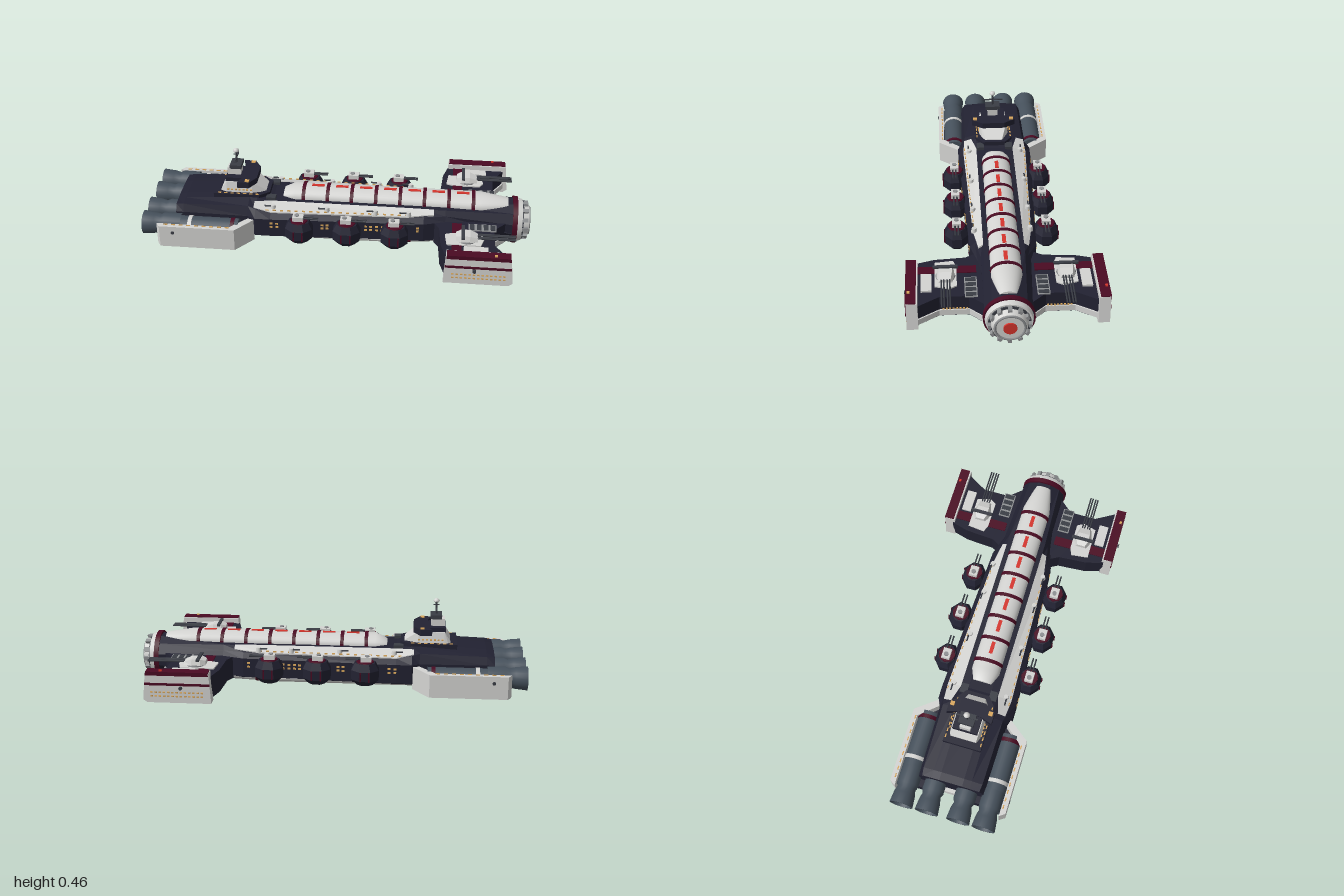
import * as THREE from 'three';

const mat = (name, color, side = THREE.FrontSide) => Object.assign(new THREE.MeshStandardMaterial({ color, side }), { name });

export function createModel() {
  const root = new THREE.Group();
  root.name = 'cruiser';
  const white = mat('hull white', 0xd4d4d2), navy = mat('navy', 0x222232), maroon = mat('maroon', 0x4a0a22),
    red = mat('signal red', 0xd6342c), amber = mat('window amber', 0xd9a75c), cyan = mat('engine teal', 0x3f7c8c, THREE.DoubleSide),
    slate = mat('engine slate', 0x46515c, THREE.DoubleSide), metal = mat('gunmetal', 0x3a3d45), grey = mat('panel grey', 0x8e9092);

  // ---- helpers ----
  const add = (name, geo, m) => {
    const mesh = new THREE.Mesh(geo, m);
    mesh.name = name;
    root.add(mesh);
    return mesh;
  };
  const box = (name, m, x, y, z, w, h, d) => add(name, new THREE.BoxGeometry(w, h, d).translate(x, y, z), m);
  const cylX = (name, m, x0, x1, y, z, r0, r1 = r0, n = 24) =>
    add(name, new THREE.CylinderGeometry(r1, r0, x1 - x0, n).rotateZ(-Math.PI / 2).translate((x0 + x1) / 2, y, z), m);
  const cylY = (name, m, x, y0, y1, z, r0, r1 = r0, n = 12) =>
    add(name, new THREE.CylinderGeometry(r1, r0, y1 - y0, n).translate(x, (y0 + y1) / 2, z), m);
  const shape = pts => new THREE.Shape(pts.map(p => new THREE.Vector2(p[0], p[1])));
  // plan outline of [x, z] raised from y0 to y1
  const plan = (name, m, pts, s, y0, y1) => add(name,
    new THREE.ExtrudeGeometry(shape(pts.map(([x, z]) => [x, -z * s])), { depth: y1 - y0, bevelEnabled: false })
      .rotateX(-Math.PI / 2).translate(0, y0, 0), m);
  // side outline of [x, y] between two z values
  const elevation = (name, m, pts, za, zb) => add(name,
    new THREE.ExtrudeGeometry(shape(pts), { depth: Math.abs(zb - za), bevelEnabled: false }).translate(0, 0, Math.min(za, zb)), m);
  // skin over rings {x, pts: [z, y]}, counter-clockwise seen from +x
  const loft = (name, m, rings, smooth = false) => {
    const n = rings[0].pts.length, pos = [], idx = [];
    rings.forEach(r => r.pts.forEach(([z, y]) => pos.push(r.x, y, z)));
    for (let i = 0; i < rings.length - 1; i++) for (let j = 0; j < n; j++) {
      const a = i * n + j, b = i * n + (j + 1) % n;
      idx.push(a, b, b + n, a, b + n, a + n);
    }
    const caps = [0, (rings.length - 1) * n].map((start, e) => {
      const base = pos.length / 3;
      for (let j = 0; j < n; j++) pos.push(...pos.slice((start + j) * 3, (start + j) * 3 + 3));
      return [base, e];
    });
    for (const [b, e] of caps) for (let j = 1; j < n - 1; j++)
      idx.push(b, e ? b + j : b + j + 1, e ? b + j + 1 : b + j);
    let geo = new THREE.BufferGeometry();
    geo.setAttribute('position', new THREE.Float32BufferAttribute(pos, 3));
    geo.setIndex(idx);
    if (!smooth) geo = geo.toNonIndexed();
    geo.computeVertexNormals();
    return add(name, geo, m);
  };
  const mirrored = half => [...half, ...half.map(([z, y]) => [-z, y]).reverse()];
  const lerpAt = (table, x) => {
    const i = Math.max(1, table.findIndex(r => r[0] >= x)), a = table[i - 1], b = table[i];
    const t = (x - a[0]) / (b[0] - a[0]);
    return a.map((v, k) => v + (b[k] - v) * t);
  };

  // ---- main hull ----
  const noseHalf = [75, 45, 15, -15, -45, -75].map(d => d * Math.PI / 180)
    .map(a => [Math.cos(a) * 0.118, 0.113 + Math.sin(a) * 0.11]);
  const body = (x, ridge, shoulderY, shoulder, w) => ({
    x, pts: mirrored([[0.06, ridge], [0.1, ridge - 0.004], [shoulder, shoulderY], [w, 0.15], [w, 0.05], [shoulder, 0.035]]) });
  loft('hull', navy, [
    body(-0.84, 0.192, 0.185, 0.15, 0.17), body(-0.8, 0.2, 0.19, 0.155, 0.172), body(-0.46, 0.222, 0.2, 0.16, 0.178),
    body(-0.42, 0.222, 0.19, 0.17, 0.2), body(-0.34, 0.205, 0.175, 0.17, 0.2), body(0.45, 0.205, 0.175, 0.14, 0.165),
    body(0.56, 0.205, 0.175, 0.115, 0.13), { x: 0.93, pts: mirrored(noseHalf) }]);

  // ---- belly keel with bands ----
  const keel = [[-0.86, 0.14], [-0.4, 0.185], [0.3, 0.18], [0.55, 0.14], [0.89, 0.085]];
  const keelRing = (x, grow = 0) => {
    const w = lerpAt(keel, x)[1] + grow, half = [];
    for (let i = 0; i <= 8; i++) half.push([Math.cos(i * Math.PI / 17) * w, 0.052 - Math.sin(i * Math.PI / 17) * (0.05 + grow / 2)]);
    return { x, pts: mirrored(half) };
  };
  loft('keel', white, keel.map(k => keelRing(k[0])));
  for (const x of [-0.15, 0.38]) loft('keelBand', maroon, [keelRing(x - 0.007, 0.004), keelRing(x + 0.007, 0.004)]);

  // ---- rounded dorsal spine ----
  const spine = [[-0.29, 0.05, 0.018], [-0.23, 0.074, 0.05], [0.74, 0.074, 0.05], [0.88, 0.045, 0.028]];
  const spineRing = (x, grow = 0) => {
    const [, w, h] = lerpAt(spine, x), half = [[w + grow, 0.19]];
    for (let i = 1; i <= 8; i++) half.unshift([Math.cos((i - 1) * Math.PI / 15) * (w + grow), 0.202 + Math.sin((i - 1) * Math.PI / 15) * (h + grow)]);
    return { x, pts: mirrored(half) };
  };
  loft('spine', white, spine.map(r => spineRing(r[0])), true);
  for (let i = 0; i < 8; i++) {
    const x = -0.182 + i * 0.126;
    loft('spineBand', maroon, [spineRing(x - 0.009, 0.004), spineRing(x + 0.009, 0.004)]);
    if (i < 7) box('spineDash', red, x + 0.072, 0.2515, 0, 0.065, 0.006, 0.019);
  }

  // ---- nose drum ----
  cylX('noseRing', maroon, 0.905, 0.93, 0.11, 0, 0.122, 0.122, 32);
  cylX('noseCollar', white, 0.93, 0.955, 0.11, 0, 0.114, 0.108, 32);
  cylX('noseGroove', metal, 0.955, 0.962, 0.11, 0, 0.1, 0.1, 32);
  cylX('noseDrum', white, 0.955, 0.992, 0.11, 0, 0.09, 0.078, 32);
  add('noseRim', new THREE.TorusGeometry(0.07, 0.006, 6, 32).rotateY(Math.PI / 2).translate(0.992, 0.11, 0), grey);
  cylX('noseLamp', red, 0.99, 1, 0.11, 0, 0.032);
  for (let i = 0; i < 12; i++)
    add('noseClamp', new THREE.BoxGeometry(0.04, 0.014, 0.02).translate(0.965, 0.094, 0).rotateX(i * Math.PI / 6).translate(0, 0.11, 0), grey);

  // ---- bridge ----
  loft('bridgeBase', white, [[-0.615, 0.075, 0.24], [-0.585, 0.08, 0.288], [-0.45, 0.08, 0.288], [-0.38, 0.055, 0.235]].map(([x, w, y]) =>
    ({ x, pts: mirrored([[w - 0.01, y], [w + 0.005, 0.2]]) })));
  plan('bridgePlinth', navy, [[-0.65, 0.1], [-0.41, 0.1], [-0.36, 0.06], [-0.36, -0.06], [-0.41, -0.1], [-0.65, -0.1]], 1, 0.2, 0.232);
  plan('bridgeWing', navy, [[-0.52, 0.118], [-0.46, 0.118], [-0.425, 0.06], [-0.425, -0.06], [-0.46, -0.118], [-0.52, -0.118], [-0.5, -0.06], [-0.5, 0.06]], 1, 0.282, 0.314);
  box('bridgeRoof', navy, -0.535, 0.298, 0, 0.11, 0.022, 0.13);
  box('bridgeTower', white, -0.55, 0.327, 0, 0.07, 0.04, 0.056);
  box('lookout', metal, -0.54, 0.358, 0, 0.06, 0.02, 0.08);
  cylY('mast', metal, -0.54, 0.36, 0.435, 0, 0.005);
  box('mastYard', metal, -0.54, 0.398, 0, 0.008, 0.005, 0.112);
  box('mastSpar', metal, -0.54, 0.415, 0, 0.03, 0.004, 0.004);
  add('radarDome', new THREE.SphereGeometry(0.016, 12, 6, 0, Math.PI * 2, 0, Math.PI / 2).translate(-0.54, 0.434, 0), white);
  cylY('domeFoot', grey, -0.54, 0.428, 0.435, 0, 0.008, 0.016);

  // ---- everything that is repeated on both flanks ----
  for (const s of [1, -1]) {
    // bridge lights
    box('bridgeLamp', amber, -0.47, 0.316, s * 0.1, 0.022, 0.006, 0.022);
    for (let i = 0; i < 7; i++) {
      box('plinthWindow', amber, -0.62 + i * 0.033, 0.233, s * 0.093, 0.018, 0.004, 0.006);
      box('bridgeWindow', amber, -0.575 + i * 0.02, 0.25, s * 0.083, 0.01, 0.007, 0.006);
    }

    // sloping white deck plates
    const deck = [[-0.43, 0.125, 0.211, 0.165, 0.198], [-0.34, 0.1, 0.205, 0.172, 0.179], [0.36, 0.1, 0.205, 0.146, 0.18], [0.5, 0.1, 0.204, 0.124, 0.187]];
    loft('deckPlate', white, deck.map(([x, zi, yi, zo, yo]) => {
      const pts = [[s * zi, yi], [s * zo, yo], [s * zo, yo - 0.012], [s * zi, yi - 0.012]];
      return { x, pts: s > 0 ? pts : pts.reverse() };
    }));
    for (let i = 0; i < 20; i++)
      box('deckLight', amber, -0.36 + i * 0.038, 0.185, s * (0.165 - i * 0.0013), 0.016, 0.006, 0.005);
    for (const x of [-0.33, -0.05, 0.2, 0.37]) {
      cylY('deckGun', white, x, 0.18, 0.205, s * 0.14, 0.016, 0.012, 8);
      cylX('deckGunBarrel', metal, x - 0.045, x, 0.2, s * 0.145, 0.004, 0.004, 6);
    }
    box('deckLocker', metal, -0.35, 0.205, s * 0.078, 0.05, 0.03, 0.04);

    // flank windows in pairs of rows
    for (const x of [-0.335, -0.305, -0.07, -0.045, 0.155, 0.18, 0.21, 0.24, 0.42]) for (const y of [0.107, 0.127])
      box('flankWindow', amber, x, y, s * (0.1998 - (x + 0.34) * 0.0443), 0.015, 0.01, 0.006);

    // sponsons with small turrets
    for (const x of [-0.185, 0.06, 0.305]) {
      const z = s * 0.226;
      const ball = new THREE.LatheGeometry([[0.001, 0.05], [0.045, 0.055], [0.075, 0.085], [0.075, 0.135], [0.055, 0.172], [0.001, 0.174]]
        .map(p => new THREE.Vector2(...p)), 8).rotateY(Math.PI / 8).scale(1, 1, 0.85).toNonIndexed();
      ball.computeVertexNormals();
      add('sponson', ball.translate(x, 0, z), navy);
      cylY('sponsonRing', maroon, x, 0.172, 0.177, z, 0.046, 0.044, 8);
      for (const dx of [-0.022, 0.022]) box('sponsonStripe', maroon, x + dx, 0.11, s * 0.286, 0.007, 0.05, 0.009);
      box('sponsonTurret', white, x - 0.004, 0.188, z, 0.055, 0.026, 0.044);
      cylY('sponsonHatch', grey, x - 0.01, 0.2, 0.206, z, 0.012);
      for (const dz of [-0.008, 0.008]) cylX('sponsonBarrel', metal, x + 0.02, x + 0.1, 0.19, z + dz, 0.004, 0.004, 6);
    }

    // forward wing
    plan('wing', navy, [[0.48, 0.1], [0.53, 0.19], [0.54, 0.34], [0.565, 0.43], [0.875, 0.43], [0.81, 0.32], [0.81, 0.18], [0.88, 0.1]], s, 0.035, 0.15);
    plan('wingLedge', white, [[0.887, 0.1], [0.817, 0.178], [0.817, 0.32], [0.88, 0.425], [0.86, 0.425], [0.8, 0.32], [0.8, 0.178], [0.86, 0.1]], s, 0.042, 0.074);
    for (let i = 0; i < 8; i++) box('wingWindow', amber, 0.812, 0.079, s * (0.19 + i * 0.016), 0.006, 0.007, 0.009);
    box('wingStripe', maroon, 0.62, 0.151, s * 0.28, 0.05, 0.006, 0.28);
    plan('wingPlate', white, [[0.56, 0.25], [0.6, 0.235], [0.74, 0.235], [0.76, 0.27], [0.74, 0.34], [0.57, 0.34]], s, 0.15, 0.157);
    box('wingHatch', white, 0.715, 0.155, s * 0.38, 0.12, 0.012, 0.05);
    box('wingGrille', grey, 0.75, 0.152, s * 0.17, 0.14, 0.006, 0.06);
    for (let i = 0; i < 4; i++) box('grilleSlot', metal, 0.698 + i * 0.035, 0.154, s * 0.17, 0.024, 0.006, 0.05);

    // main turret
    cylY('turretBase', grey, 0.67, 0.15, 0.166, s * 0.288, 0.05, 0.046, 10);
    loft('turret', white, [[0.615, 0.028, 0.185], [0.64, 0.042, 0.194], [0.685, 0.042, 0.194], [0.725, 0.032, 0.18]].map(([x, w, y]) =>
      ({ x, pts: [[0.75 * w, y], [w, 0.164], [-w, 0.164], [-0.75 * w, y]].map(([z, h]) => [z + s * 0.288, h]) })));
    box('rangefinder', metal, 0.65, 0.197, s * 0.288, 0.016, 0.01, 0.12);
    for (const dz of [-0.02, -0.008, 0.008, 0.02]) cylX('turretBarrel', metal, 0.71, 0.912, 0.178, s * 0.288 + dz, 0.004, 0.004, 6);

    // wing end plate
    elevation('endPlate', white, [[0.56, 0.02], [0.88, 0.02], [0.9, 0.035], [0.885, 0.178], [0.57, 0.178]], s * 0.42, s * 0.474);
    elevation('endPlateCap', maroon, [[0.572, 0.162], [0.885, 0.162], [0.883, 0.182], [0.572, 0.182]], s * 0.427, s * 0.477);
    box('endPlateStripe', maroon, 0.728, 0.117, s * 0.4745, 0.325, 0.012, 0.006);
    for (let i = 0; i < 13; i++) for (const y of [0.055, 0.075])
      box('endPlateWindow', amber, 0.605 + i * 0.021, y, s * 0.4745, 0.012, 0.007, 0.005);
    add('endPlateNub', new THREE.CylinderGeometry(0.009, 0.009, 0.014, 10).rotateX(Math.PI / 2).translate(0.71, 0.1, s * 0.48), metal);
    box('runningLight', s > 0 ? amber : red, 0.81, 0.184, s * 0.462, 0.014, 0.008, 0.012);

    // stern nacelle with armour shell
    plan('nacelleFloor', navy, [[-0.88, 0.1], [-0.88, 0.29], [-0.52, 0.29], [-0.44, 0.19], [-0.44, 0.1]], s, 0.016, 0.075);
    plan('nacelleArmour', white, [[-0.92, 0.275], [-0.9, 0.305], [-0.51, 0.305], [-0.425, 0.195], [-0.46, 0.185], [-0.54, 0.278]], s, 0.02, 0.14);
    cylX('nacelleTube', slate, -0.9, -0.5, 0.095, s * 0.22, 0.055);
    cylX('nacelleBand', white, -0.762, -0.742, 0.095, s * 0.22, 0.058);
    cylX('nacelleStripe', maroon, -0.54, -0.52, 0.095, s * 0.22, 0.058);
    for (let i = 0; i < 9; i++) box('armourLight', amber, -0.87 + i * 0.04, 0.141, s * 0.285, 0.02, 0.005, 0.006);
    add('armourPort', new THREE.CylinderGeometry(0.009, 0.009, 0.006, 10).rotateX(Math.PI / 2).translate(-0.83, 0.105, s * 0.306), metal);

    // engine bells
    for (const z of [0.083, 0.217]) {
      const bell = new THREE.LatheGeometry([[0.055, -0.8], [0.056, -0.89], [0.047, -0.91], [0.055, -0.94], [0.061, -1], [0.055, -1], [0.04, -0.92]]
        .map(([r, x]) => new THREE.Vector2(r, x)), 24);
      add('engineBell', bell.rotateZ(-Math.PI / 2).translate(0, 0.105, s * z), slate);
      add('engineGlow', new THREE.CircleGeometry(0.05, 24).rotateY(-Math.PI / 2).translate(-0.945, 0.105, s * z), cyan);
      cylX('engineHub', metal, -0.975, -0.94, 0.105, s * z, 0.008, 0.018, 12);
    }
  }
  return root;
}
